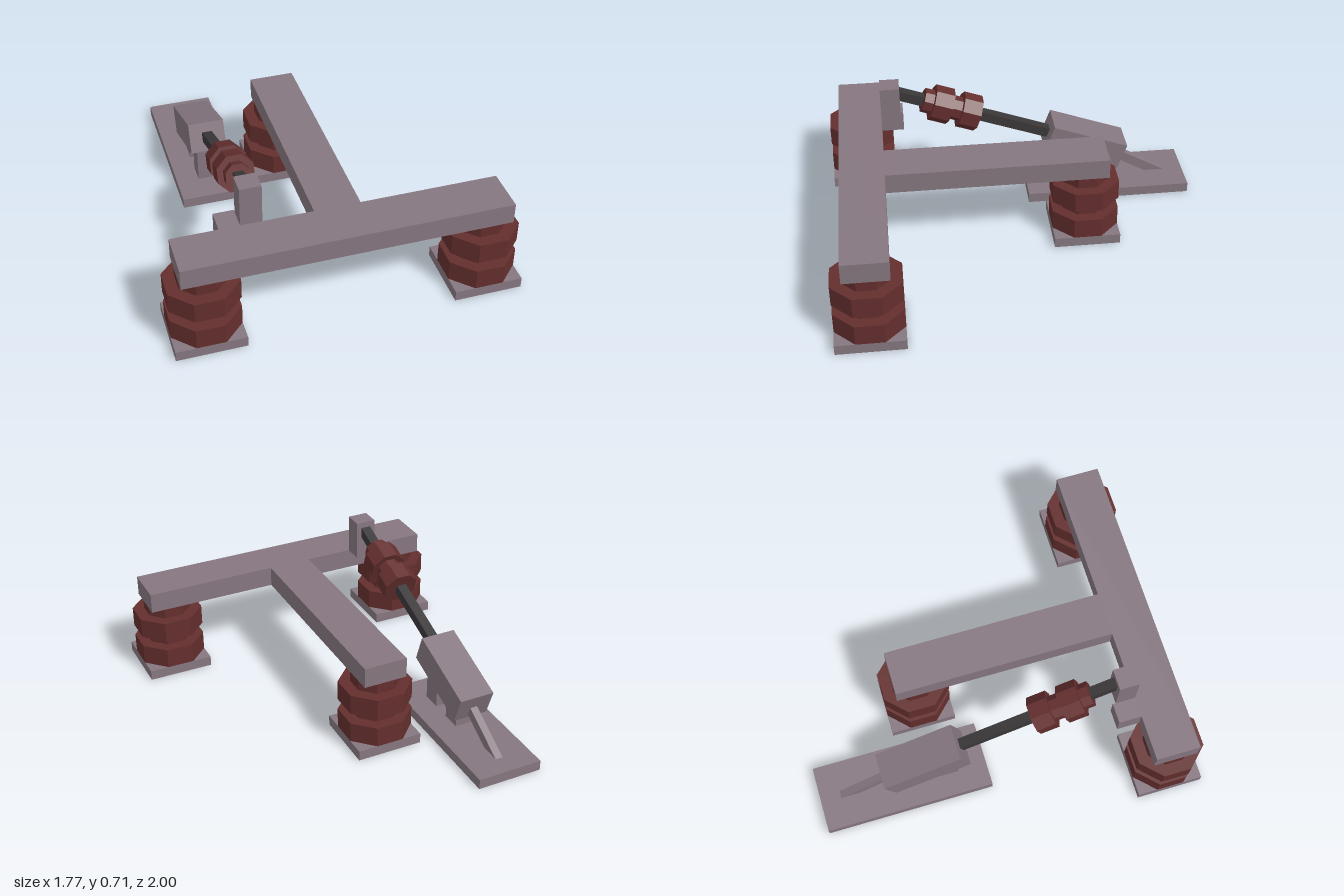
import * as THREE from 'three';

const mat = (name, color) => Object.assign(new THREE.MeshStandardMaterial({ color }), { name });

export function createModel() {
  const model = new THREE.Group();
  model.name = 'tripodFrameWithDamper';
  const mauve = mat('mauveMetal', 0x85767f);
  const red = mat('darkRed', 0x642e2e);
  const dark = mat('darkRod', 0x3a3739);
  const slate = mat('slateSole', 0x56656f);

  // Box from its minimum and maximum on each axis
  function box(name, [x0, x1], [y0, y1], [z0, z1], material = mauve, parent = model) {
    const mesh = new THREE.Mesh(new THREE.BoxGeometry(x1 - x0, y1 - y0, z1 - z0), material);
    mesh.position.set((x0 + x1) / 2, (y0 + y1) / 2, (z0 + z1) / 2);
    mesh.name = name;
    parent.add(mesh);
    return mesh;
  }

  // Ribbed octagonal bellows: wide and narrow rings stacked from y = 0
  function bellows(name, wide, narrow, stretch) {
    const group = new THREE.Group();
    group.name = name;
    let y = 0;
    [[wide, 0.11], [narrow, 0.06], [wide, 0.11], [narrow, 0.055]].forEach(([apothem, h], i) => {
      const r = apothem / Math.cos(Math.PI / 8);
      const geo = new THREE.CylinderGeometry(r, r, h * stretch, 8).toNonIndexed();
      geo.rotateY(Math.PI / 8);
      geo.computeVertexNormals();
      const ring = new THREE.Mesh(geo, red);
      ring.name = `${name}Ring${i + 1}`;
      ring.position.y = y + (h * stretch) / 2;
      y += h * stretch;
      group.add(ring);
    });
    return group;
  }

  // Foot plate with a slate underside (box face order: +x -x +y -y +z -z)
  const footMaterials = [mauve, mauve, mauve, slate, mauve, mauve];
  const foot = (name, x, z) => box(name, x, [0, 0.055], z, footMaterials);

  // T-shaped frame
  box('crossBeam', [-0.83, 0.83], [0.39, 0.5], [0.705, 0.94]);
  box('rearBeam', [-0.118, 0.118], [0.39, 0.5], [-0.47, 0.705]);

  // Three feet with bellows
  const h = 0.177;
  for (const [side, x, z] of [['right', -0.711, 0.823], ['left', 0.708, 0.823], ['rear', 0, -0.354]]) {
    foot(`${side}Foot`, [x - h, x + h], [z - h, z + h]);
    const spring = bellows(`${side}Bellows`, h, 0.118, 1);
    spring.position.set(x, 0.055, z);
    model.add(spring);
  }

  // Upper mount of the damper
  const cx = -0.43;
  box('mountBlock', [-0.59, -0.485], [0.39, 0.5], [0.585, 0.705]);
  box('mountPost', [cx - 0.055, cx + 0.055], [0.5, 0.715], [0.6, 0.705]);

  // Tilted damper: housing, rod and bellows on one axis
  const damper = new THREE.Group();
  damper.name = 'damper';
  damper.position.set(cx, 0.357, -0.215);
  damper.rotation.x = -THREE.MathUtils.degToRad(20);
  box('damperHousing', [-0.096, 0.096], [-0.08, 0.08], [-0.44, 0], mauve, damper);
  box('damperRod', [-0.027, 0.027], [-0.027, 0.027], [0, 0.89], dark, damper);
  const sleeve = bellows('damperBellows', 0.0925, 0.062, 0.95);
  sleeve.rotation.x = Math.PI / 2;
  sleeve.position.z = 0.416;
  damper.add(sleeve);
  model.add(damper);

  // Long foot carrying the housing
  foot('longFoot', [-0.605, -0.25], [-1, -0.09]);
  box('frontColumn', [cx - 0.055, cx + 0.055], [0.055, 0.26], [-0.35, -0.245]);
  box('rearColumn', [cx - 0.055, cx + 0.055], [0.055, 0.18], [-0.555, -0.45]);

  // Diagonal brace behind the housing, drawn in the z-y plane
  const brace = new THREE.Shape([[-0.89, 0.055], [-0.6, 0.22], [-0.58, 0.17], [-0.78, 0.055]]
    .map(([z, y]) => new THREE.Vector2(-z, y)));
  const braceGeo = new THREE.ExtrudeGeometry(brace, { depth: 0.04, bevelEnabled: false });
  braceGeo.rotateY(Math.PI / 2);
  const braceMesh = new THREE.Mesh(braceGeo, mauve);
  braceMesh.name = 'rearBrace';
  braceMesh.position.x = cx - 0.02;
  model.add(braceMesh);

  return model;
}
